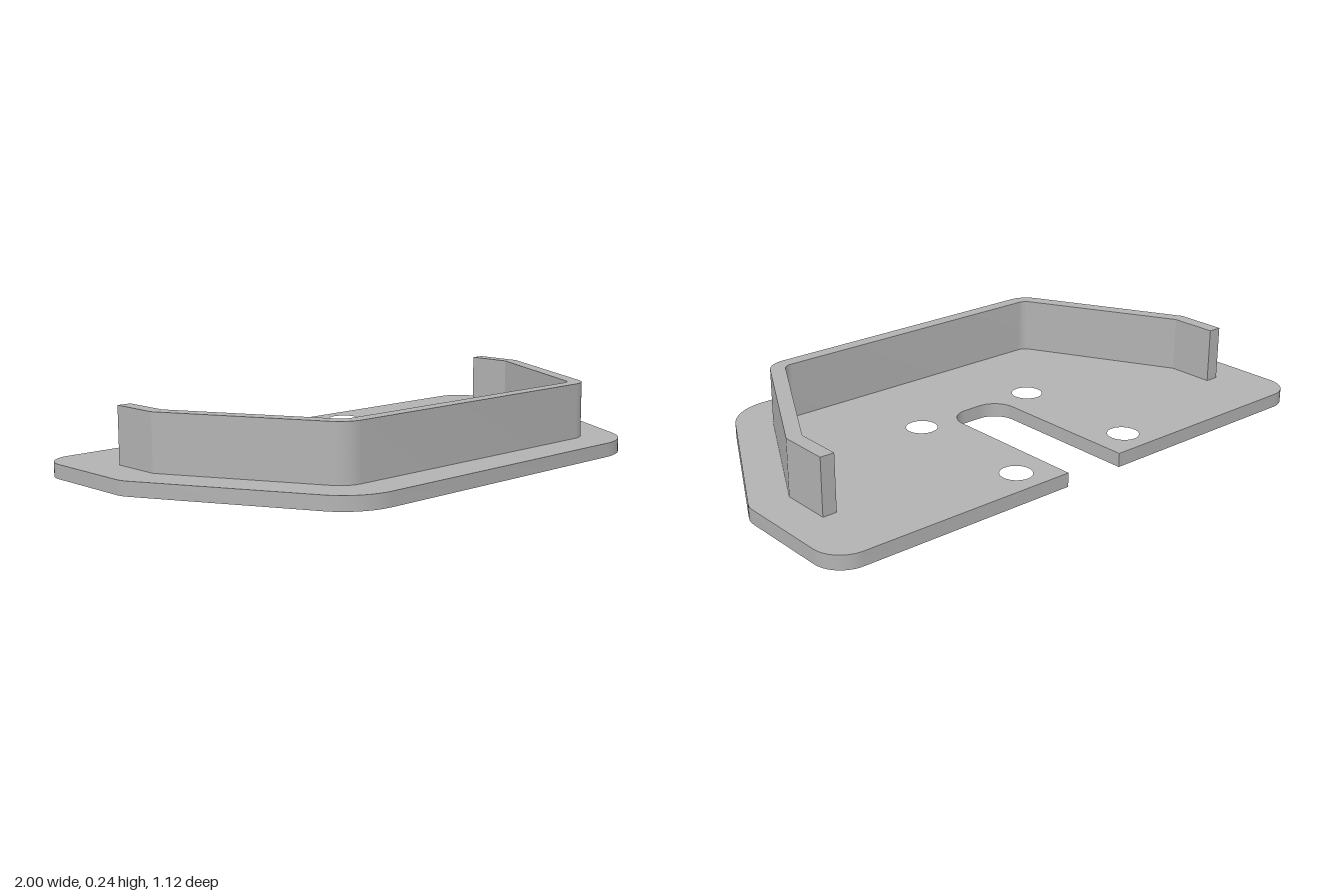
import * as THREE from 'three';
import { toCreasedNormals } from 'three/addons/utils/BufferGeometryUtils.js';

const PLATE_HEIGHT = 0.048;
const TOTAL_HEIGHT = 0.24;

// Closed shape from [x, z, cornerRadius] points, with true arcs at the corners
function roundedShape(corners) {
  const points = [];
  const count = corners.length;
  corners.forEach(([x, z, r], i) => {
    const p = new THREE.Vector2(x, -z);
    if (!r) { points.push(p); return; }
    const [px, pz] = corners[(i + count - 1) % count];
    const [nx, nz] = corners[(i + 1) % count];
    const a = new THREE.Vector2(px, -pz).sub(p).normalize();
    const b = new THREE.Vector2(nx, -nz).sub(p).normalize();
    const half = Math.acos(a.dot(b)) / 2;
    const center = a.clone().add(b).normalize().multiplyScalar(r / Math.sin(half)).add(p);
    const tangent = r / Math.tan(half);
    const start = a.multiplyScalar(tangent).add(p).sub(center).angle();
    let sweep = b.multiplyScalar(tangent).add(p).sub(center).angle() - start;
    if (sweep > Math.PI) sweep -= 2 * Math.PI;
    if (sweep < -Math.PI) sweep += 2 * Math.PI;
    const steps = Math.max(4, Math.ceil(Math.abs(sweep) / 0.13));
    for (let s = 0; s <= steps; s++) {
      const t = start + sweep * s / steps;
      points.push(new THREE.Vector2(center.x + r * Math.cos(t), center.y + r * Math.sin(t)));
    }
  });
  return new THREE.Shape(points);
}

// Adds the mirrored half, so only the +x side is listed
const mirrored = (half) => [...half, ...half.map(([x, z, r]) => [-x, z, r]).reverse()];

// Upright prism standing at height y
function prism(name, shape, y, height, material) {
  const geometry = new THREE.ExtrudeGeometry(shape, { depth: height, bevelEnabled: false, curveSegments: 24 });
  geometry.rotateX(-Math.PI / 2);
  geometry.translate(0, y, 0);
  const mesh = new THREE.Mesh(toCreasedNormals(geometry, 0.35), material);
  mesh.name = name;
  return mesh;
}

export function createModel() {
  const group = new THREE.Group();
  group.name = 'slottedBracket';
  const grey = new THREE.MeshStandardMaterial({ color: 0xb2b2b2 });
  grey.name = 'grey';

  // Base plate with a rounded slot open at the back
  const plate = roundedShape(mirrored([
    [0.113, 0.04, 0.08],
    [0.113, -0.558, 0],
    [1, -0.558, 0.1],
    [1, -0.118, 0.1],
    [0.645, 0.558, 0.2],
  ]));

  // Four screw holes beside the slot
  for (const x of [-0.238, 0.238]) {
    for (const z of [-0.453, 0.023]) {
      const hole = new THREE.Path();
      hole.absarc(x, -z, 0.053, 0, Math.PI * 2, true);
      plate.holes.push(hole);
    }
  }
  group.add(prism('basePlate', plate, 0, PLATE_HEIGHT, grey));

  // Raised wall following the front and slanted sides
  const wall = roundedShape(mirrored([
    [0.54, 0.377, 0.04],
    [0.82, -0.148, 0],
    [0.82, -0.314, 0],
    [0.869, -0.314, 0],
    [0.869, -0.136, 0],
    [0.573, 0.425, 0.09],
  ]));
  group.add(prism('rimWall', wall, PLATE_HEIGHT, TOTAL_HEIGHT - PLATE_HEIGHT, grey));

  return group;
}
